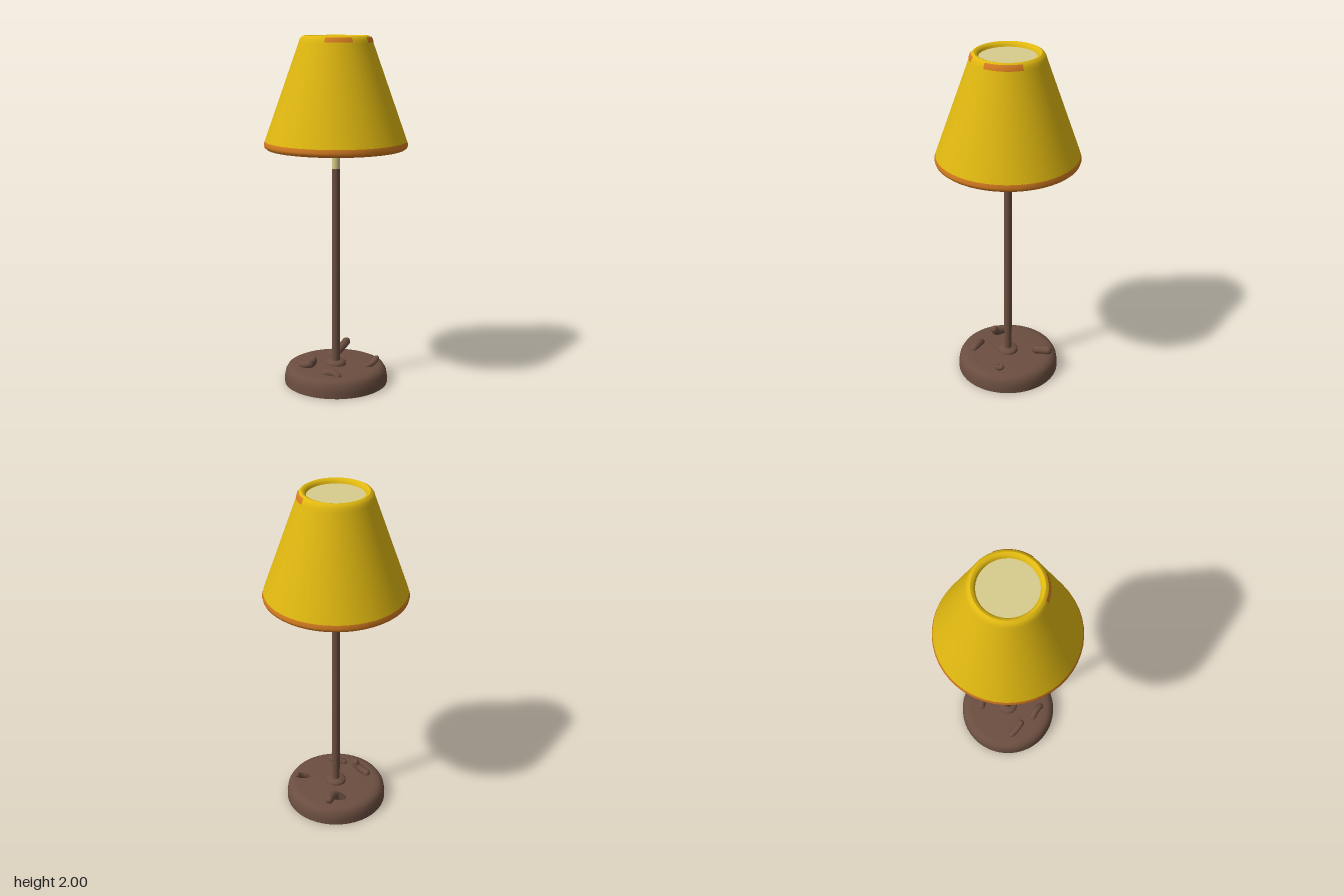
import * as THREE from 'three';
import { toCreasedNormals } from 'three/addons/utils/BufferGeometryUtils.js';

const mat = (name, color) => {
  const m = new THREE.MeshStandardMaterial({ color });
  m.name = name;
  return m;
};

export function createModel() {
  const yellow = mat('yellow shade', 0xe0b810);
  const orange = mat('orange trim', 0xd67c20);
  const cream = mat('cream lining', 0xd8cc8c);
  const brown = mat('brown metal', 0x6b4e40);

  const model = new THREE.Group();
  model.name = 'tableLamp';

  const add = (name, geometry, material, parent = model) => {
    const mesh = new THREE.Mesh(geometry, material);
    mesh.name = name;
    parent.add(mesh);
    return mesh;
  };
  // Profile of [radius, height] pairs, listed from bottom centre outwards and up
  const lathe = (points, start = 0, length = Math.PI * 2, segments = 48) =>
    toCreasedNormals(new THREE.LatheGeometry(
      points.map(([r, y]) => new THREE.Vector2(r, y)), segments, start, length), 0.8);

  // Round base with a soft upper edge
  add('base', lathe([[0, 0], [0.3, 0], [0.3, 0.035], [0.294, 0.068],
    [0.281, 0.09], [0.26, 0.1], [0.235, 0.102], [0, 0.1]]), brown);
  add('baseCollar', lathe([[0.06, 0.098], [0.058, 0.115], [0.045, 0.125], [0, 0.125]]), brown);

  // Stem with a pale neck under the shade
  const stem = add('stem', new THREE.CylinderGeometry(0.023, 0.023, 1.16, 20), brown);
  stem.position.y = 0.68;
  const neck = add('neck', new THREE.CylinderGeometry(0.023, 0.023, 0.13, 20), cream);
  neck.position.y = 1.325;

  // Small bent stubs resting on the base: path points and radius
  const stubs = [
    ['backStub', 0.025, [[-0.035, 0.095, -0.17], [0.0, 0.122, -0.175], [0.025, 0.143, -0.21], [0.04, 0.152, -0.25]]],
    ['rightStub', 0.022, [[-0.19, 0.108, 0.06], [-0.155, 0.12, 0.085], [-0.13, 0.135, 0.1], [-0.122, 0.156, 0.105]]],
    ['leftStub', 0.016, [[0.18, 0.1, 0.035], [0.21, 0.115, 0.025], [0.232, 0.132, 0.01], [0.237, 0.142, 0.0]]],
    ['frontStub', 0.021, [[-0.05, 0.102, 0.175], [-0.015, 0.113, 0.185], [0.015, 0.11, 0.2], [0.03, 0.1, 0.21]]],
  ];
  for (const [name, radius, path] of stubs) {
    const stub = new THREE.Group();
    stub.name = name;
    const points = path.map((p) => new THREE.Vector3(...p));
    add('stubBody', new THREE.TubeGeometry(new THREE.CatmullRomCurve3(points), 16, radius, 12), brown, stub);
    for (const end of [points[0], points[points.length - 1]])
      add('stubEnd', new THREE.SphereGeometry(radius, 14, 10), brown, stub).position.copy(end);
    model.add(stub);
  }

  // Conical shade with a rolled upper rim
  const shade = new THREE.Group();
  shade.name = 'shade';
  model.add(shade);
  add('shadeWall', lathe([[0.399, 1.42], [0.207, 1.96], [0.201, 1.98], [0.192, 1.993],
    [0.18, 2], [0.168, 1.996], [0.159, 1.985], [0.154, 1.965]]), yellow, shade);
  add('lowerTrim', lathe([[0.376, 1.378], [0.39, 1.377], [0.401, 1.386], [0.405, 1.4], [0.399, 1.42]]), orange, shade);

  // Discs closing the shade above and below
  add('topDisc', lathe([[0.157, 1.975], [0, 1.975]]), cream, shade);
  add('lowerLining', lathe([[0.25, 1.392], [0.35, 1.392], [0.362, 1.382], [0.376, 1.378]]), cream, shade);
  add('lowerDisc', lathe([[0, 1.39], [0.26, 1.39]]), brown, shade);
  add('shadeCollar', lathe([[0.02, 1.372], [0.046, 1.374], [0.056, 1.382], [0.057, 1.392]]), orange, shade);

  // Worn orange patches just outside the upper rim: start and end angle in degrees
  for (const [from, to, low] of [[-12, 31, 1.967], [62, 122, 1.963]]) {
    const rad = THREE.MathUtils.degToRad;
    add('rimPatch', lathe([[0.2075, low], [0.203, 1.981], [0.1945, 1.9935]],
      rad(from), rad(to - from), 14), orange, shade);
  }

  return model;
}
